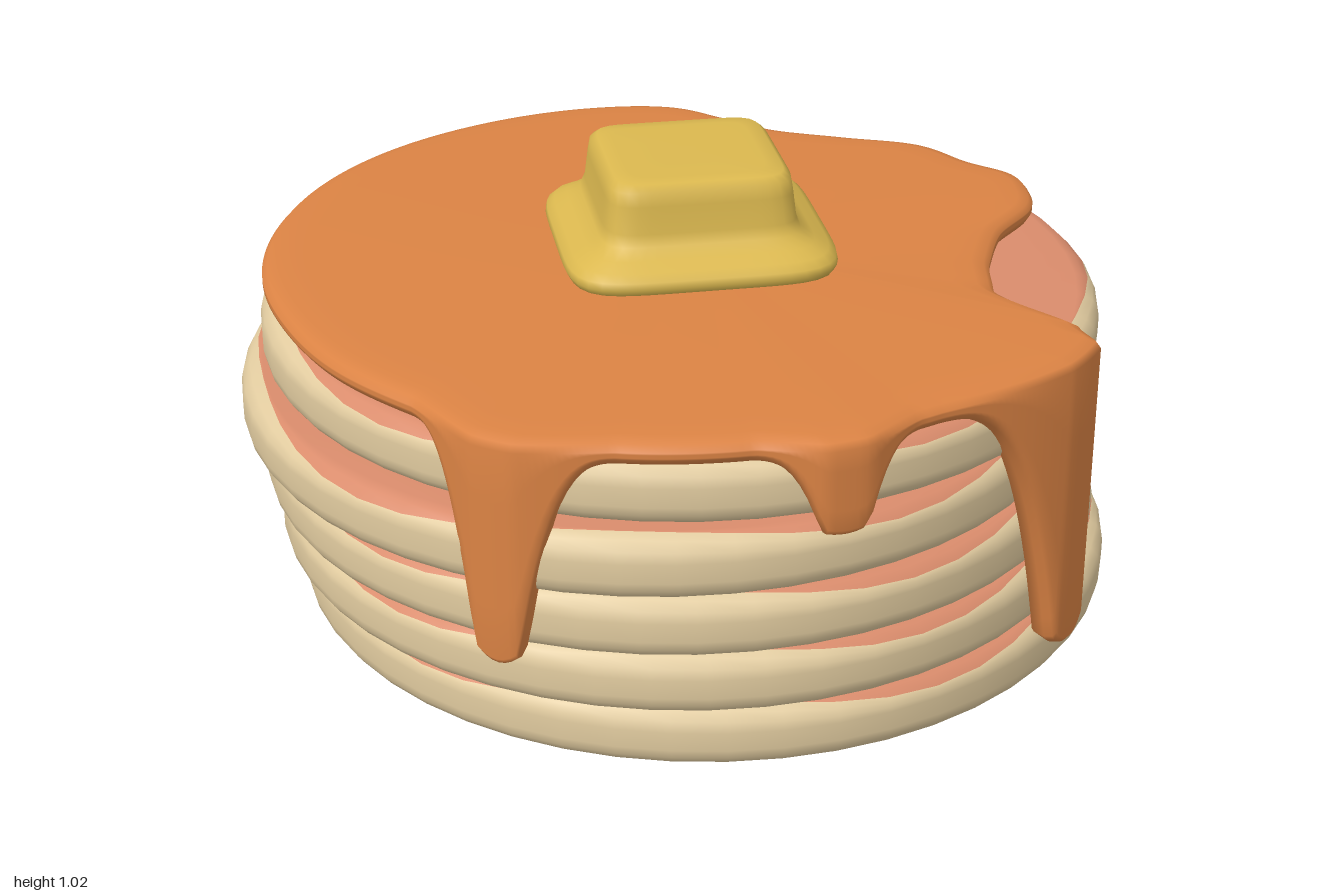
import * as THREE from 'three';

const mat = (name, color) => {
  const m = new THREE.MeshStandardMaterial({ color });
  m.name = name;
  return m;
};

// Skin closed rings of points, listed from the top centre outward and down.
// bands: [first ring, last ring, material index]
function loft(rings, bands) {
  const n = rings[0].length;
  const index = [];
  const geo = new THREE.BufferGeometry();
  for (const [from, to, material] of bands) {
    const start = index.length;
    for (let i = from; i < to; i++) {
      for (let j = 0; j < n; j++) {
        const k = (j + 1) % n;
        const a = i * n + j, d = i * n + k, b = a + n, c = d + n;
        index.push(a, d, b, d, c, b);
      }
    }
    geo.addGroup(start, index.length - start, material);
  }
  geo.setAttribute('position', new THREE.Float32BufferAttribute(rings.flat(2), 3));
  geo.setIndex(index);
  geo.computeVertexNormals();
  return geo;
}

const polar = (angle, r, y) => [r * Math.cos(angle), y, r * Math.sin(angle)];

// Pancake: browned faces, pale rounded rim, wavy border between them
function pancakeGeometry() {
  const cols = 50, r = 0.93, h = 0.142, bevel = 0.05;
  const rings = [];
  const ring = (f) => rings.push(Array.from({ length: cols }, (_, j) => {
    const a = (j / cols) * Math.PI * 2;
    return polar(a, ...f(a));
  }));
  const topArc = (t) => [r - bevel + bevel * Math.sin(t), h - bevel + bevel * Math.cos(t)];
  const border = (a) => 0.55 + 0.5 * Math.cos(5 * (a - THREE.MathUtils.degToRad(78)));
  ring(() => [0, h]);
  ring(() => [0.8, h]);
  for (const f of [0, 0.5, 1]) ring((a) => topArc(border(a) * f));
  for (const f of [0.33, 0.67, 1]) {
    ring((a) => topArc(THREE.MathUtils.lerp(border(a), Math.PI / 2, f)));
  }
  for (const t of [0, 0.4, 0.8, 1.2, Math.PI / 2]) {
    ring(() => [r - bevel + bevel * Math.cos(t), bevel - bevel * Math.sin(t)]);
  }
  ring(() => [0.87, 0]);
  ring(() => [0, 0]);
  const last = rings.length - 1;
  return loft(rings, [[0, 4, 0], [4, last - 1, 1], [last - 1, last, 0]]);
}

// Syrup outline: [angle in degrees from +x towards +z, radius]
const syrupOutline = [
  [-25, 0.92], [-19, 0.925], [-10, 0.925], [4, 0.92], [20, 0.925], [34, 0.94], [48, 0.95],
  [61, 0.945], [75, 0.92], [90, 0.92], [106, 0.92], [122, 0.935], [138, 0.945], [160, 0.955],
  [182, 0.955], [203, 0.95], [216, 0.925], [225, 0.85], [235, 0.79], [248, 0.81], [260, 0.87],
  [270, 0.87], [278, 0.905], [284, 0.885], [290, 0.84], [299, 0.72], [312, 0.67], [322, 0.68],
  [328, 0.71], [332, 0.8], [335, 0.92],
];

// Drips: [start, core start, core end, end in degrees, length]
const drips = [
  [-24.8, -22, -14.5, 6, 0.64],
  [9, 17.5, 23, 31, 0.16],
  [47, 58.3, 63.8, 75, 0.455],
];

// How far a drip hangs at an angle: a rounded core with flared sides
function dripAmount(angle, [start, from, to, end]) {
  if (angle <= start || angle >= end) return 0;
  if (angle < from) return 0.95 * ((angle - start) / (from - start)) ** 3;
  if (angle > to) return 0.95 * ((end - angle) / (end - to)) ** 3;
  return 1 - 0.05 * ((2 * angle - from - to) / (to - from)) ** 2;
}

// Syrup: a rounded sheet whose edge hangs down into the drips
function syrupGeometry() {
  const curve = new THREE.CatmullRomCurve3(
    syrupOutline.map(([a, r]) => new THREE.Vector3(a, r, 0)), false, 'catmullrom', 0.5);
  const cols = (syrupOutline.length - 1) * 16;
  const columns = Array.from({ length: cols }, (_, j) => {
    const p = curve.getPoint(j / cols);
    let r = p.y, h = 0.74;
    for (const drip of drips) {
      const amount = dripAmount(p.x, drip);
      r += 0.055 * amount ** 0.4;
      h -= drip[4] * amount;
    }
    const side = (f) => [r, THREE.MathUtils.lerp(0.775, h + 0.02, f)];
    const section = [
      [0, 0.808], [r * 0.5, 0.805], [r - 0.1, 0.798], [r - 0.04, 0.795], [r - 0.012, 0.788],
      ...[0, 0.25, 0.5, 0.75, 1].map(side),
      [r - 0.01, h + 0.007], [r - 0.03, h], [r - 0.06, h + 0.01], [r - 0.08, 0.735], [0, 0.735],
    ];
    return section.map(([radius, y]) => polar(THREE.MathUtils.degToRad(p.x), radius, y));
  });
  const rings = columns[0].map((_, i) => columns.map((c) => c[i]));
  return loft(rings, [[0, rings.length - 1, 0]]);
}

// Butter: rounded square sections [half width, height, squareness]
function butterGeometry() {
  const sections = [
    [0, 1.017, 8], [0.15, 1.017, 8], [0.185, 1.014, 8], [0.2, 1.0, 8], [0.205, 0.97, 8],
    [0.212, 0.91, 8], [0.222, 0.885, 7.5], [0.25, 0.865, 7], [0.28, 0.85, 6],
    [0.297, 0.835, 5.5], [0.3, 0.82, 5.5], [0.292, 0.803, 5.5], [0, 0.803, 5.5],
  ];
  const cols = 72;
  const rings = sections.map(([s, y, n]) => Array.from({ length: cols }, (_, j) => {
    const a = (j / cols) * Math.PI * 2;
    const c = Math.abs(Math.cos(a)), d = Math.abs(Math.sin(a));
    return polar(a, s / (c ** n + d ** n) ** (1 / n), y);
  }));
  return loft(rings, [[0, rings.length - 1, 0]]);
}

export function createModel() {
  const browned = mat('browned pancake', 0xda8c6c);
  const pale = mat('pale pancake rim', 0xe2cca0);
  const syrup = mat('syrup', 0xdb8344);
  const butter = mat('butter', 0xdbb84f);

  const model = new THREE.Group();
  model.name = 'pancakeStack';
  const add = (name, geo, material, x = 0, y = 0, z = 0) => {
    const mesh = new THREE.Mesh(geo, material);
    mesh.name = name;
    mesh.position.set(x, y, z);
    model.add(mesh);
    return mesh;
  };

  // Slightly shifted stack of pancakes: [base height, z]
  const cake = pancakeGeometry();
  [[0, -0.065], [0.146, -0.015], [0.29, 0.015], [0.443, 0.065], [0.59, 0.005]]
    .forEach(([y, z], i) => add(`pancake${i + 1}`, cake, [browned, pale], -0.02, y, z));

  add('syrup', syrupGeometry(), syrup);
  add('butter', butterGeometry(), butter, -0.02, 0, -0.02).rotation.y = -Math.PI / 6.3;
  return model;
}
